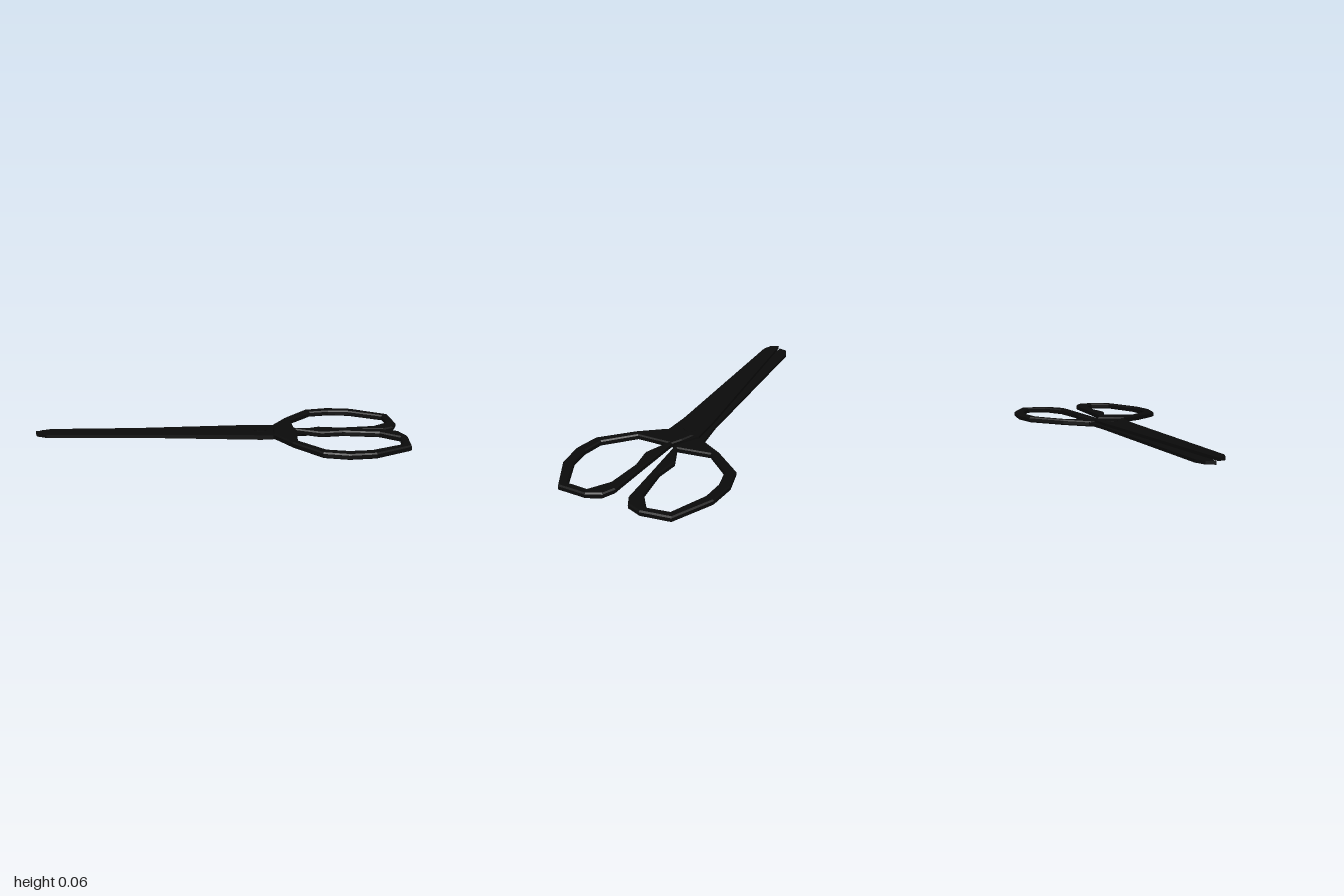
import * as THREE from 'three';

const TILT = -0.042; // both halves lean slightly across z

export function createModel() {
  const model = new THREE.Group();
  model.name = 'scissors';
  const black = new THREE.MeshStandardMaterial({ color: 0x0b0b0b, flatShading: true });

  // Flat plate from an [x, z] outline, centred on height y and sheared by the tilt
  function plate(name, outline, hole, y, thickness, bevel) {
    const toPoints = (list) => list.map(([x, z]) => new THREE.Vector2(x, -z));
    const shape = new THREE.Shape(toPoints(outline));
    if (hole) shape.holes.push(new THREE.Path(toPoints(hole)));
    const geo = new THREE.ExtrudeGeometry(shape, {
      depth: thickness - 2 * bevel, bevelEnabled: bevel > 0, bevelSegments: 1,
      bevelSize: bevel, bevelThickness: bevel, bevelOffset: -bevel,
    });
    geo.rotateX(-Math.PI / 2);
    geo.translate(0, y - thickness / 2 + bevel, 0);
    const p = geo.attributes.position;
    for (let i = 0; i < p.count; i++) p.setY(i, p.getY(i) + TILT * p.getZ(i));
    geo.computeVertexNormals();
    const mesh = new THREE.Mesh(geo, black);
    mesh.name = name;
    model.add(mesh);
  }

  // Outlines of the front half; the back half is mirrored in z
  const blade = [
    [-1, -0.005], [-0.985, 0.042], [-0.93, 0.066], [0.12, 0.084], [0.28, 0.1],
    [0.36, 0.08], [0.36, -0.03], [0.28, -0.085], [0.12, -0.083], [-0.92, -0.012],
  ];
  const grip = [
    [0.28, 0.1], [0.366, 0.236], [0.505, 0.395], [0.635, 0.425], [0.775, 0.408],
    [0.975, 0.298], [0.988, 0.14], [0.957, 0.064], [0.895, 0.032], [0.665, 0.018],
    [0.41, 0.0], [0.36, -0.03], [0.29, -0.06],
  ];
  const opening = [
    [0.41, 0.024], [0.54, 0.08], [0.66, 0.062], [0.85, 0.086], [0.945, 0.155],
    [0.933, 0.27], [0.755, 0.356], [0.64, 0.367], [0.53, 0.345], [0.4, 0.205],
  ];
  const mirror = (list, shift) => list.map(([x, z]) => [x, shift - z]).reverse();

  // Blades, one lying on the other
  plate('upperBlade', blade, null, 0.04, 0.016, 0);
  plate('lowerBlade', mirror(blade, -0.018), null, 0.024, 0.016, 0);

  // Finger loops with their necks
  plate('frontHandle', grip, opening, 0.044, 0.031, 0.007);
  plate('backHandle', mirror(grip, -0.006), mirror(opening, -0.006), 0.022, 0.031, 0.007);

  // Pivot pin
  const rivet = new THREE.Mesh(new THREE.CylinderGeometry(0.037, 0.037, 0.051, 12), black);
  rivet.name = 'pivot';
  rivet.position.set(0.215, 0.0255, -0.005);
  model.add(rivet);

  return model;
}
